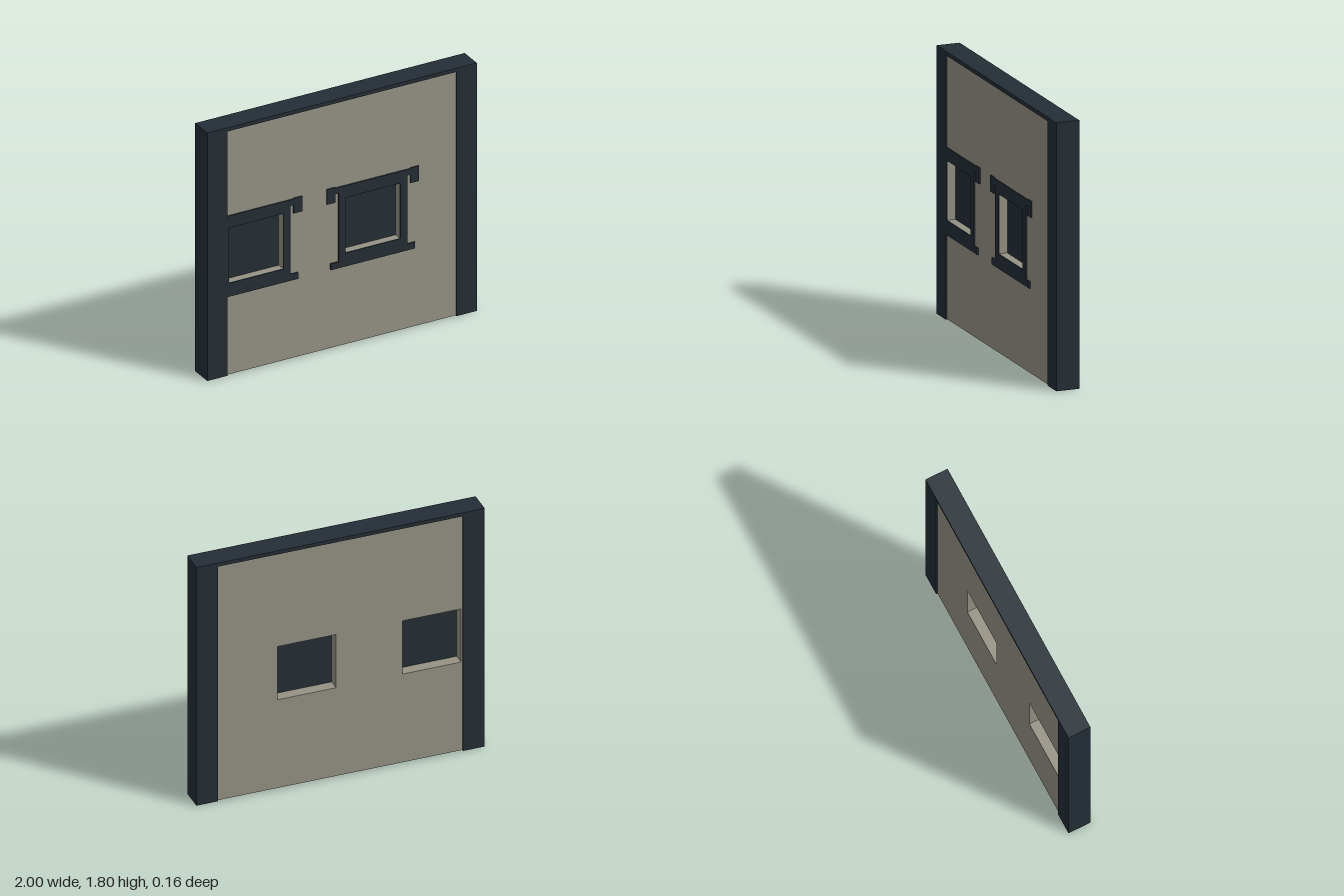
import * as THREE from 'three';

const W = 2, H = 1.8, D = 0.16;      // overall size
const POST = 0.15, BEAM = 0.027;     // side posts and top beam
const PANEL_Z = 0.07;                // panel faces sit slightly inside the frame
const WINDOWS = [-0.637, 0.23];      // window centres in x
const OPEN = { half: 0.203, bottom: 0.668, top: 1.07 };

function opening(cx) {
  const { half, bottom, top } = OPEN;
  return new THREE.Path([
    [cx - half, bottom], [cx - half, top], [cx + half, top], [cx + half, bottom],
  ].map(([x, y]) => new THREE.Vector2(x, y)));
}

function extrude(shape, z0, z1) {
  const g = new THREE.ExtrudeGeometry(shape, { depth: z1 - z0, bevelEnabled: false });
  return g.translate(0, 0, z0);
}

export function createModel() {
  const dark = new THREE.MeshStandardMaterial({ color: 0x242e36 });
  dark.name = 'dark slate';
  const plaster = new THREE.MeshStandardMaterial({ color: 0x969385 });
  plaster.name = 'grey beige plaster';

  const model = new THREE.Group();
  model.name = 'windowWall';
  const add = (name, geometry, material, x = 0, y = 0, z = 0) => {
    const mesh = new THREE.Mesh(geometry, material);
    mesh.name = name;
    mesh.position.set(x, y, z);
    model.add(mesh);
    return mesh;
  };

  // Side posts and top beam
  for (const s of [1, -1]) {
    add(s > 0 ? 'leftPost' : 'rightPost', new THREE.BoxGeometry(POST, H, D), dark, s * (W - POST) / 2, H / 2);
  }
  add('topBeam', new THREE.BoxGeometry(W - 2 * POST, BEAM, D), dark, 0, H - BEAM / 2);

  // Underside between the posts
  add('underside', new THREE.PlaneGeometry(W - 2 * POST, D).rotateX(Math.PI / 2), dark);

  // Wall panel with two window openings
  const px = W / 2 - POST;
  const wall = new THREE.Shape([
    [-px, 0.002], [px, 0.002], [px, H - BEAM], [-px, H - BEAM],
  ].map(([x, y]) => new THREE.Vector2(x, y)));
  wall.holes = WINDOWS.map(opening);
  add('wallPanel', extrude(wall, -PANEL_Z, PANEL_Z), plaster);

  // Right half of the window surround, from the sill up to the hood
  const half = [
    [0.3125, 0.57], [0.3125, 0.616], [0.254, 0.616], [0.254, 1.113], [0.279, 1.113],
    [0.279, 1.052], [0.342, 1.052], [0.342, 1.161], [0.279, 1.161], [0.279, 1.156],
  ];
  const outline = [...half, ...half.map(([x, y]) => [-x, y]).reverse()];

  WINDOWS.forEach((cx, i) => {
    const side = i ? 'left' : 'right';
    const surround = new THREE.Shape(outline.map(([x, y]) => new THREE.Vector2(x + cx, y)));
    surround.holes = [opening(cx)];
    add(side + 'WindowSurround', extrude(surround, PANEL_Z, D / 2 - 0.0005), dark);

    // Pane set back in the opening
    add(side + 'WindowPane',
      new THREE.BoxGeometry(OPEN.half * 2, OPEN.top - OPEN.bottom, 0.008), dark,
      cx, (OPEN.top + OPEN.bottom) / 2, 0.012);
  });

  return model;
}
